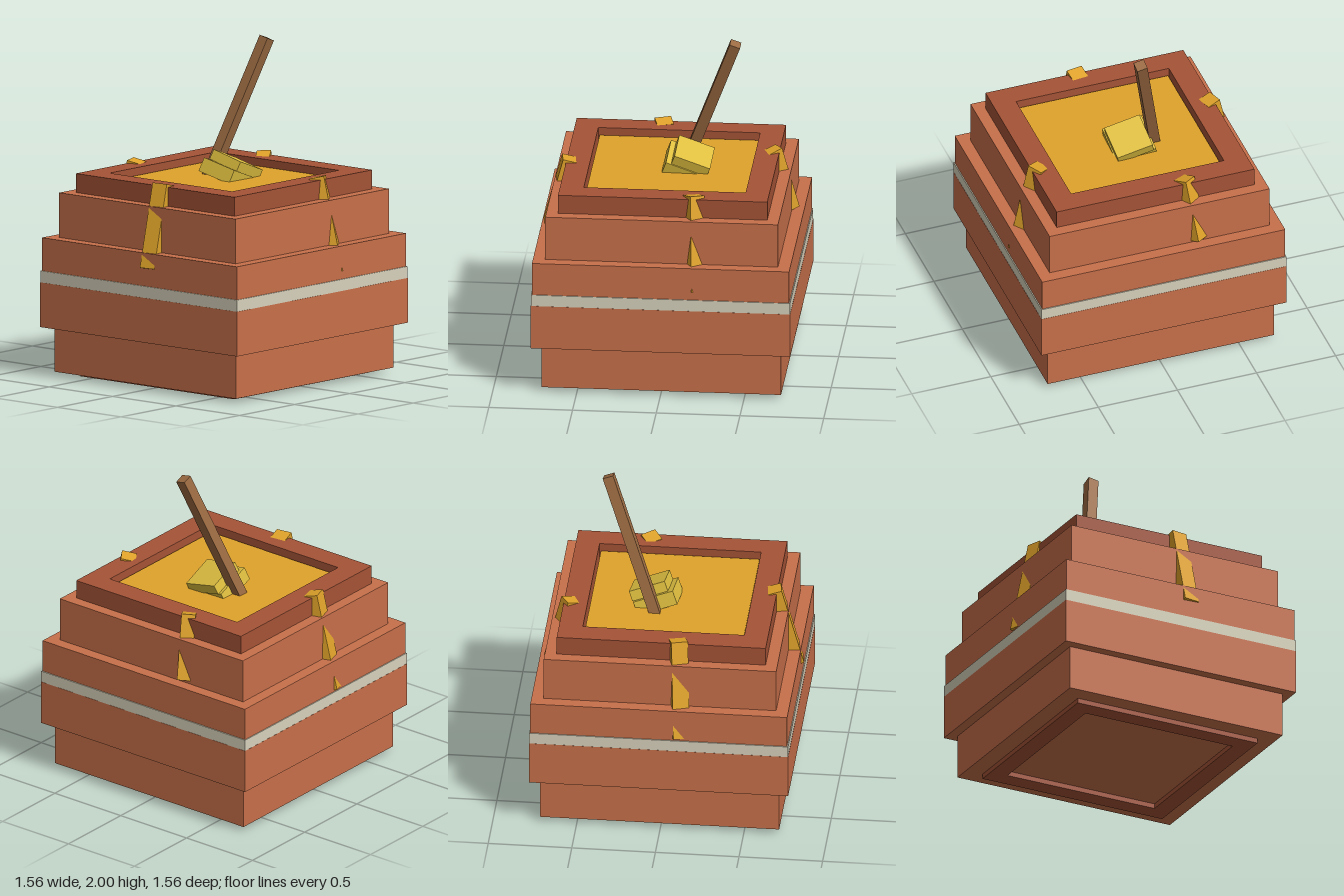
import * as THREE from 'three';

const mat = (color) => new THREE.MeshStandardMaterial({ color, flatShading: true });

export function createModel() {
  const root = new THREE.Group();
  const clay = mat(0xc8704a), darkClay = mat(0xa55336), cream = mat(0xd8d2bc);
  const honey = mat(0xe0a32a), comb = mat(0xe0c040), wood = mat(0x9c6b42);
  const up = new THREE.Vector3(0, 1, 0);

  const add = (name, geometry, material) => {
    const mesh = new THREE.Mesh(geometry, material);
    mesh.name = name;
    root.add(mesh);
    return mesh;
  };

  // Square slab between two heights
  const slab = (name, half, y0, y1, material) =>
    add(name, new THREE.BoxGeometry(half * 2, y1 - y0, half * 2), material)
      .position.set(0.005, (y0 + y1) / 2, 0.005);

  // Square frame with an open middle
  const frame = (name, outer, inner, y0, y1, material) => {
    const square = (h, Type) => new Type([[-h, -h], [h, -h], [h, h], [-h, h]]
      .map(([x, y]) => new THREE.Vector2(x, y)));
    const shape = square(outer, THREE.Shape);
    shape.holes.push(square(inner, THREE.Path));
    const geometry = new THREE.ExtrudeGeometry(shape, { depth: y1 - y0, bevelEnabled: false });
    geometry.rotateX(-Math.PI / 2);
    add(name, geometry, material).position.set(0.005, y0, 0.005);
  };

  // Square bar from one point to another, turned about its own length
  const bar = (name, from, to, width, depth, yaw, material) => {
    const a = new THREE.Vector3(...from), b = new THREE.Vector3(...to);
    const dir = b.clone().sub(a);
    const mesh = add(name, new THREE.BoxGeometry(width, dir.length(), depth), material);
    mesh.position.copy(a).add(b).multiplyScalar(0.5);
    mesh.quaternion.setFromUnitVectors(up, dir.normalize())
      .multiply(new THREE.Quaternion().setFromAxisAngle(up, yaw));
  };

  // Stepped pot
  frame('foot', 0.605, 0.495, 0, 0.03, darkClay);
  slab('lowerTier', 0.715, 0.03, 0.3, clay);
  slab('bellyLower', 0.775, 0.3, 0.57, clay);
  slab('bellyBand', 0.774, 0.57, 0.64, cream);
  slab('bellyUpper', 0.768, 0.64, 0.84, clay);
  slab('shoulder', 0.695, 0.84, 1.11, clay);
  frame('rim', 0.625, 0.483, 1.11, 1.225, darkClay);
  slab('honeySurface', 0.474, 1.1, 1.18, honey);

  // Honey drips leaning out through the steps, one on each side
  bar('dripFront', [0.205, 0.675, 0.717], [0.187, 1.235, 0.583], 0.095, 0.09, 0.6, honey);
  bar('dripLeft', [0.685, 0.85, -0.235], [0.585, 1.235, -0.19], 0.095, 0.085, 0.6, honey);
  bar('dripRight', [-0.733, 0.74, 0.07], [-0.6, 1.235, 0.055], 0.09, 0.1, 0.15, honey);
  bar('dripBack', [-0.12, 0.645, -0.728], [-0.095, 1.235, -0.595], 0.1, 0.085, 0.3, honey);

  // Dipper: leaning stick and two tilted head blocks
  bar('dipperStick', [0.075, 1.14, -0.185], [0.385, 1.985, 0.012], 0.065, 0.065, 0, wood);
  bar('dipperHeadTop', [0.118, 1.222, -0.014], [0.14, 1.28, 0], 0.225, 0.225, 0, comb);
  bar('dipperHeadLower', [0.07, 1.15, -0.035], [0.1, 1.23, -0.018], 0.25, 0.25, 0, comb);

  return root;
}
